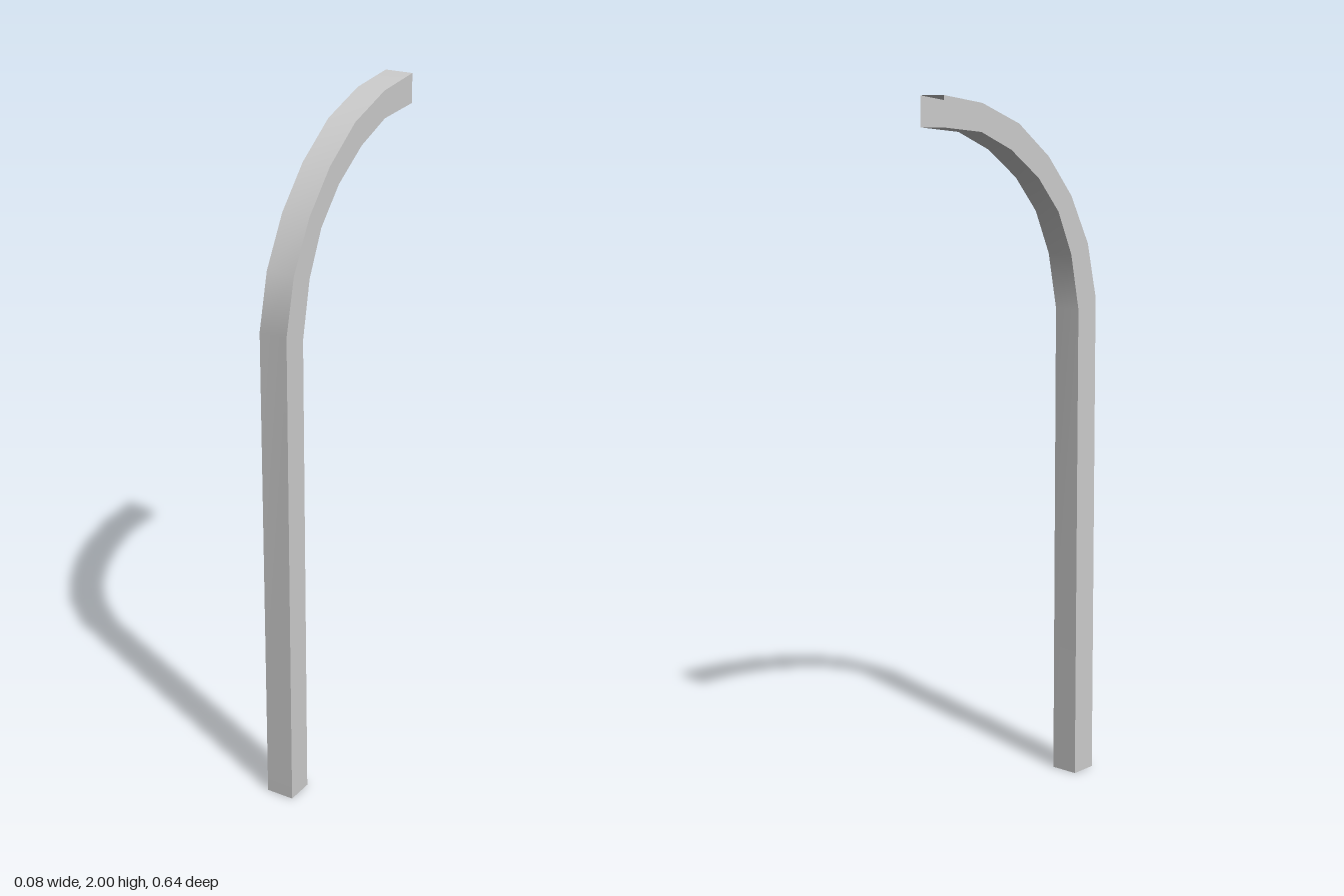
import * as THREE from 'three';

const HALF_WIDTH = 0.042;

// Side profile as [z, y], from the foot up and over to the open end
const OUTER = [[0.32, 0], [0.32, 1.43], [0.282, 1.588], [0.206, 1.726], [0.106, 1.837], [-0.02, 1.927], [-0.17, 1.981], [-0.32, 2]];
const INNER = [[0.238, 0], [0.241, 1.4], [0.207, 1.56], [0.149, 1.683], [0.062, 1.779], [-0.053, 1.857], [-0.174, 1.905], [-0.32, 1.917]];

// Strip of quads between two matching rows of points, smooth along its length
function strip(rowA, rowB) {
  const positions = [], index = [];
  rowA.forEach((a, i) => {
    positions.push(...a, ...rowB[i]);
    if (i > 0) {
      const n = 2 * i;
      index.push(n - 2, n - 1, n + 1, n - 2, n + 1, n);
    }
  });
  const geometry = new THREE.BufferGeometry();
  geometry.setAttribute('position', new THREE.Float32BufferAttribute(positions, 3));
  geometry.setIndex(index);
  geometry.computeVertexNormals();
  return geometry;
}

export function createModel() {
  const material = new THREE.MeshStandardMaterial({ color: 0xcccccc, side: THREE.DoubleSide });
  const row = (profile, x) => profile.map(([z, y]) => [x, y, z]);

  // The four long edges of the square tube, in order around the section
  const edges = [
    row(OUTER, -HALF_WIDTH), row(OUTER, HALF_WIDTH),
    row(INNER, HALF_WIDTH), row(INNER, -HALF_WIDTH),
  ];
  const names = ['outerWall', 'leftWall', 'innerWall', 'rightWall'];

  const tube = new THREE.Group();
  tube.name = 'bentSquareTube';
  const add = (name, geometry) => {
    const mesh = new THREE.Mesh(geometry, material);
    mesh.name = name;
    tube.add(mesh);
  };

  // Walls; the upper end stays open
  names.forEach((name, i) => add(name, strip(edges[i], edges[(i + 1) % 4])));

  // Closed foot
  add('footCap', strip([edges[0][0], edges[3][0]], [edges[1][0], edges[2][0]].map((p) => p)).scale(1, 1, 1));
  const cap = tube.children[4].geometry;
  cap.setIndex([0, 3, 1, 0, 2, 3]);
  cap.computeVertexNormals();

  const model = new THREE.Group();
  model.add(tube);
  return model;
}
